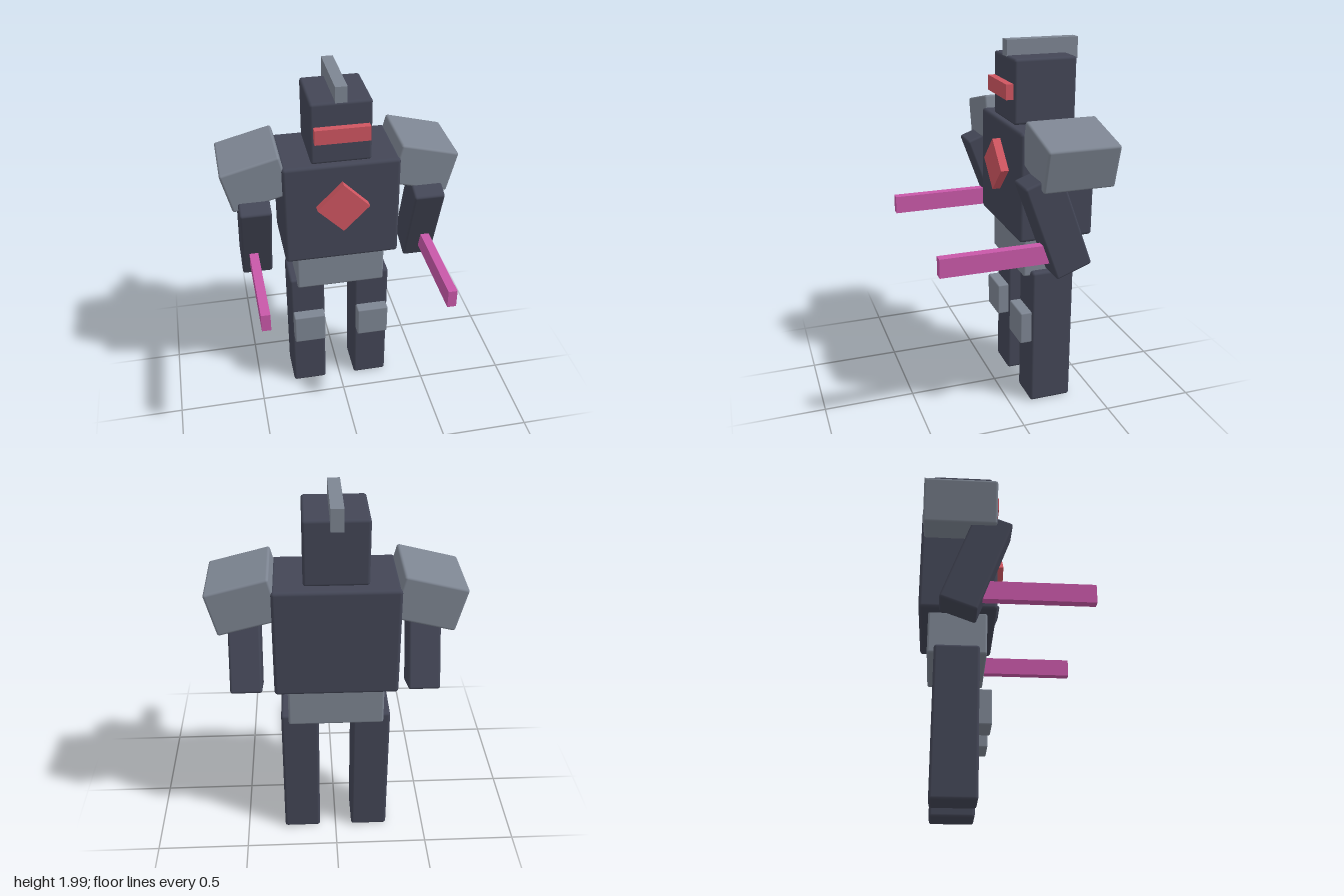
import * as THREE from 'three';
import { RoundedBoxGeometry } from 'three/addons/geometries/RoundedBoxGeometry.js';

const material = (name, color) => {
  const m = new THREE.MeshStandardMaterial({ color });
  m.name = name;
  return m;
};

export function createModel() {
  const armour = material('dark armour', 0x434656);
  const plate = material('grey plate', 0x7d8592);
  const red = material('red trim', 0xce5560);
  const pink = material('pink blade', 0xc858a8);

  const model = new THREE.Group();
  model.name = 'robot';

  // Box by size and centre; bevel 0 gives sharp edges
  function block(name, mat, [w, h, d], [x, y, z], bevel = 0, parent = model) {
    const geometry = bevel
      ? new RoundedBoxGeometry(w, h, d, 2, bevel)
      : new THREE.BoxGeometry(w, h, d);
    const mesh = new THREE.Mesh(geometry, mat);
    mesh.name = name;
    mesh.position.set(x, y, z);
    parent.add(mesh);
    return mesh;
  }

  // Torso and pelvis
  block('torso', armour, [0.63, 0.585, 0.41], [0, 1.287, -0.237], 0.018);
  block('pelvis', plate, [0.5, 0.235, 0.31], [0, 0.885, -0.236], 0.012);
  const emblem = block('chestDiamond', red, [0.2, 0.2, 0.06], [0, 1.34, -0.018]);
  emblem.rotation.z = Math.PI / 4;

  // Head with visor and crest
  block('head', armour, [0.322, 0.337, 0.34], [0, 1.752, -0.222], 0.015);
  block('visor', red, [0.29, 0.08, 0.06], [0, 1.755, -0.043]);
  block('crest', plate, [0.063, 0.112, 0.395], [0, 1.944, -0.253]);

  // Limbs, mirrored
  for (const [side, s] of [['left', 1], ['right', -1]]) {
    const leg = new THREE.Group();
    leg.name = side + 'LegGroup';
    model.add(leg);
    block(side + 'Leg', armour, [0.2, 0.793, 0.236], [s * 0.19, 0.4025, -0.237], 0.015, leg);
    block(side + 'KneePad', plate, [0.182, 0.185, 0.08], [s * 0.189, 0.472, -0.096], 0.008, leg);

    const arm = new THREE.Group();
    arm.name = side + 'ArmGroup';
    model.add(arm);
    const shoulder = block(side + 'Shoulder', plate, [0.322, 0.232, 0.378], [s * 0.45, 1.495, -0.24], 0.013, arm);
    shoulder.rotation.z = -s * 0.25;
    const forearm = block(side + 'Arm', armour, [0.167, 0.53, 0.2], [s * 0.466, 1.1525, -0.1525], 0.013, arm);
    forearm.rotation.x = 0.35;
    block(side + 'Blade', pink, [0.048, 0.1, 0.61], [s * 0.485, 1.0, 0.147], 0, arm);
  }
  return model;
}
